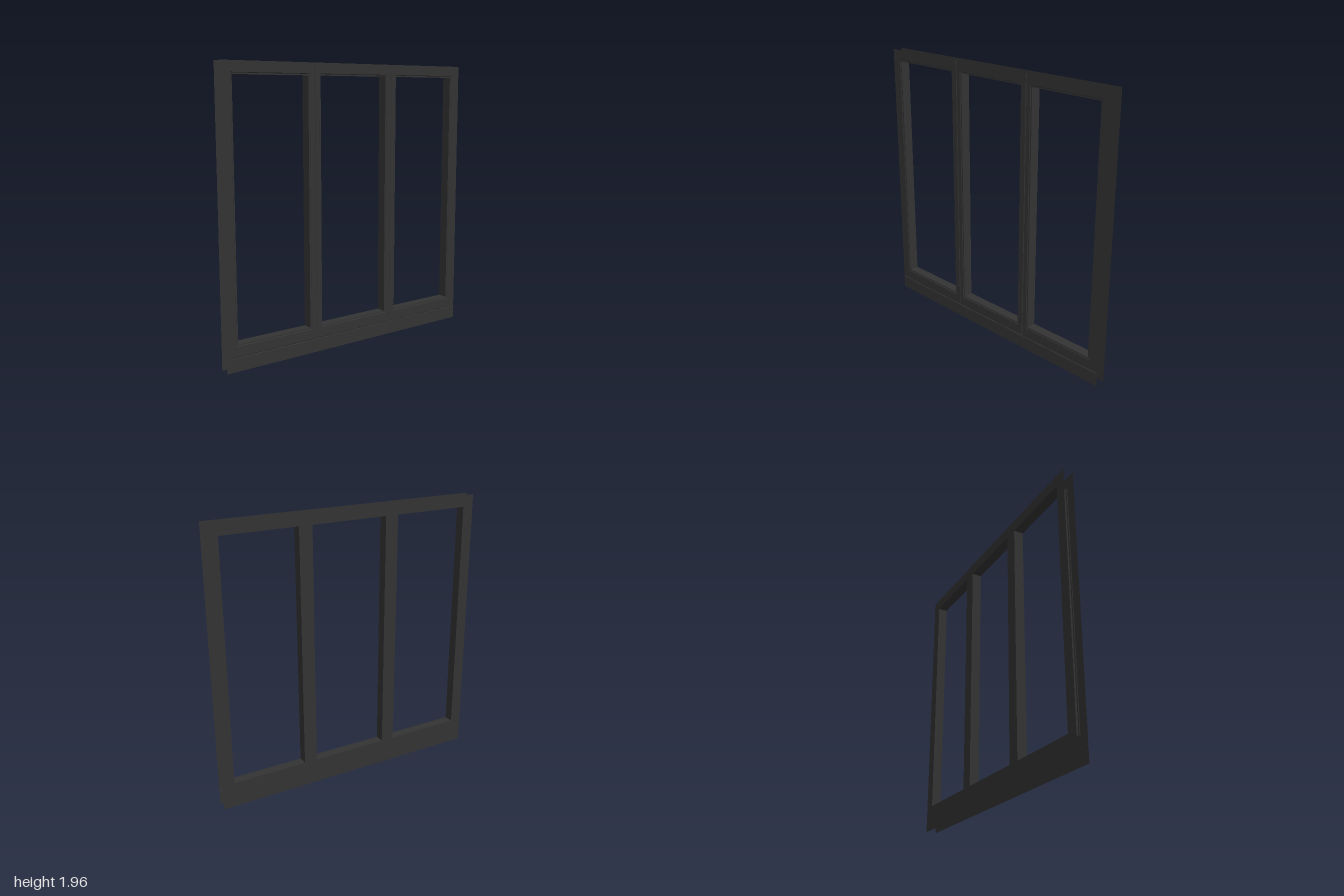
import * as THREE from 'three';

const W = 1, H = 1.96, ZF = 0.037, ZB = -0.037, ZR = 0.033; // half width, height, front, back, recess
const SILL = 0.095, G = 0.004, BEAD = 0.013;
const JOINTS = [-0.313, 0.334];
// clear openings: left edge, right edge, bottom, top
const OPENINGS = [[-0.918, -0.364], [-0.267, 0.286], [0.381, 0.915]].map(([a, b]) => [a, b, 0.18, 1.877]);

const material = new THREE.MeshStandardMaterial({ color: 0x333333, side: THREE.DoubleSide, flatShading: true });

const corners = ([x0, x1, y0, y1]) => [[x0, y0], [x1, y0], [x1, y1], [x0, y1]];
const grow = ([x0, x1, y0, y1], d) => [x0 - d, x1 + d, y0 - d, y1 + d];

// flat sheet with rectangular holes
function sheet(rect, holes, z) {
  const outline = r => corners(r).map(p => new THREE.Vector2(...p));
  const shape = new THREE.Shape(outline(rect));
  holes.forEach(h => shape.holes.push(new THREE.Path(outline(h).reverse())));
  return new THREE.ShapeGeometry(shape).translate(0, 0, z);
}

// surface joining rows of points; a row may be closed into a loop
function loft(rows, closed) {
  const pos = [];
  const n = rows[0].length;
  for (let r = 0; r + 1 < rows.length; r++) {
    for (let i = 0; i < (closed ? n : n - 1); i++) {
      const j = (i + 1) % n;
      const a = rows[r][i], b = rows[r][j], c = rows[r + 1][j], d = rows[r + 1][i];
      pos.push(...a, ...b, ...c, ...a, ...c, ...d);
    }
  }
  const g = new THREE.BufferGeometry();
  g.setAttribute('position', new THREE.Float32BufferAttribute(pos, 3));
  g.computeVertexNormals();
  return g;
}

export function createModel() {
  const group = new THREE.Group();
  const add = (name, geometry) => {
    const mesh = new THREE.Mesh(geometry, material);
    mesh.name = name;
    group.add(mesh);
  };
  const loop = (rect, z) => corners(rect).map(([x, y]) => [x, y, z]);

  // three sash fronts, each with a bevelled bead and a deep reveal
  const edges = [-W, ...JOINTS, W];
  OPENINGS.forEach((o, i) => {
    const x0 = edges[i] + (i > 0 ? G : 0);
    const x1 = edges[i + 1] - (i < 2 ? G : 0);
    add('sashFront' + (i + 1), sheet([x0, x1, SILL + G, H], [grow(o, BEAD)], ZF));
    add('sashBead' + (i + 1), loft([loop(grow(o, BEAD), ZF), loop(grow(o, BEAD * 0.7), ZR), loop(o, ZR)], true));
    add('reveal' + (i + 1), loft([loop(o, ZR), loop(o, ZB)], true));
  });

  // sill board below the sashes
  add('sillFront', sheet([-W, W, 0, SILL - G], [], ZF));

  // shallow V grooves between the boards
  const vee = [[-G, ZF], [0, ZR], [G, ZF]];
  JOINTS.forEach((x, i) => add('sashJoint' + (i + 1),
    loft([H, SILL + G].map(y => vee.map(([d, z]) => [x + d, y, z])), false)));
  add('sillJoint', loft([-W, W].map(x => vee.map(([d, z]) => [x, SILL + d, z])), false));

  // plain back face
  add('backFrame', sheet([-W, W, 0, H], OPENINGS, ZB).rotateY(0));

  return group;
}
